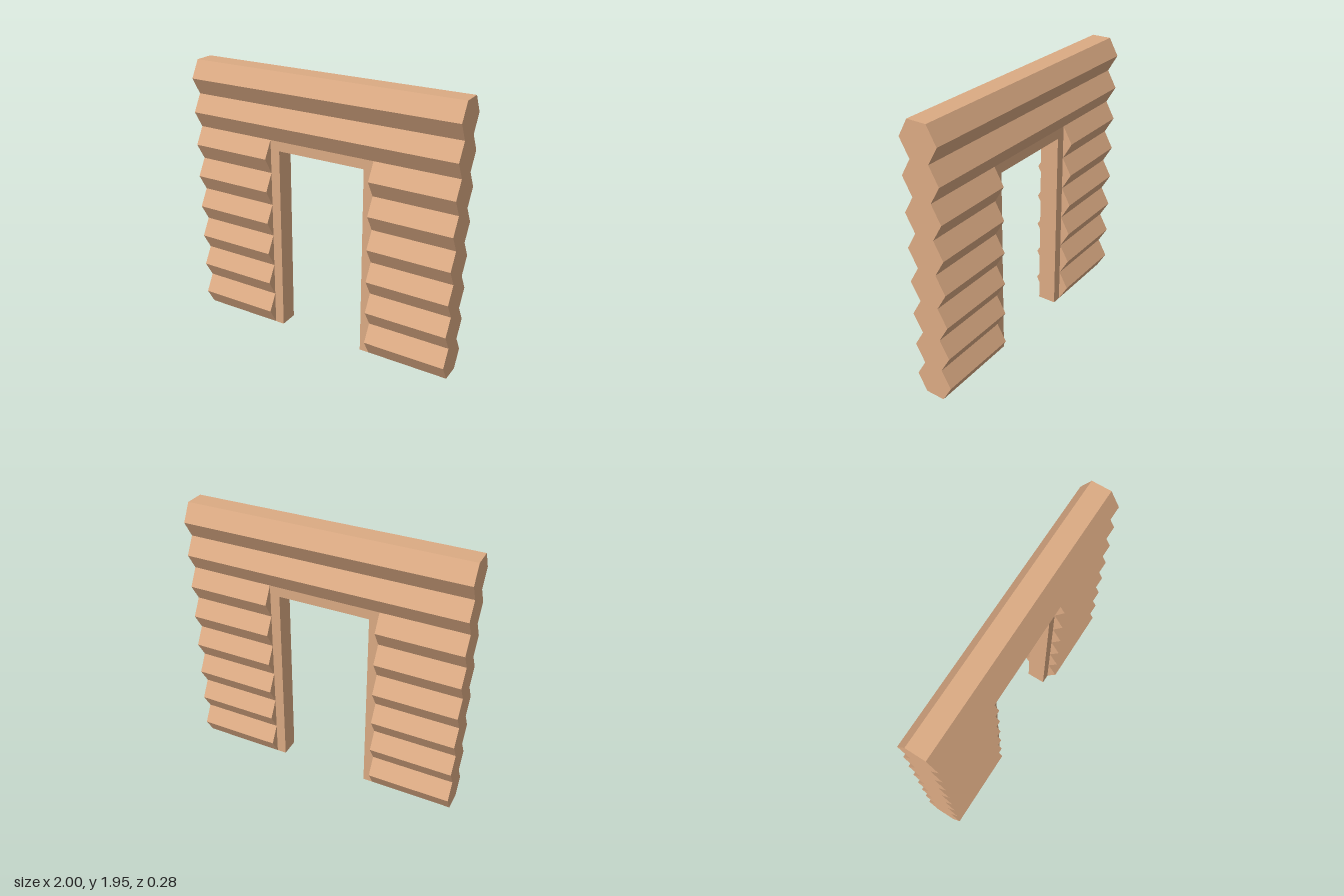
import * as THREE from 'three';

const LOG = 0.2437;    // height of one log
const VALLEY = 0.07;   // half depth where logs meet
const RIDGE = 0.14;    // half depth at the middle of a log
const ROWS = 8, DOOR_ROWS = 6;
const DOOR = 0.33, JAMB = 0.4;

const wood = new THREE.MeshStandardMaterial({ color: 0xdbaa83, flatShading: true });

// Stack of hexagonal logs running along x from x0 to x1
function logStack(name, rows, x0, x1, y) {
  const side = [[VALLEY, 0]];
  for (let i = 0; i < rows; i++) {
    side.push([RIDGE, (i + 0.5) * LOG], [VALLEY, (i + 1) * LOG]);
  }
  const mirrored = side.map(([d, h]) => [-d, h]).reverse();
  const profile = new THREE.Shape([...side, ...mirrored].map(([d, h]) => new THREE.Vector2(d, h)));
  const geometry = new THREE.ExtrudeGeometry(profile, { depth: x1 - x0, bevelEnabled: false });
  geometry.rotateY(Math.PI / 2);
  const mesh = new THREE.Mesh(geometry, wood);
  mesh.name = name;
  mesh.position.set(x0, y, 0);
  return mesh;
}

// Flat frame lining the doorway, open at the floor
function doorFrame() {
  const top = DOOR_ROWS * LOG, head = top - (JAMB - DOOR);
  const outline = [
    [-JAMB, 0], [-DOOR, 0], [-DOOR, head], [DOOR, head],
    [DOOR, 0], [JAMB, 0], [JAMB, top], [-JAMB, top],
  ];
  const shape = new THREE.Shape(outline.map(([x, y]) => new THREE.Vector2(x, y)));
  const geometry = new THREE.ExtrudeGeometry(shape, { depth: VALLEY * 2, bevelEnabled: false });
  geometry.translate(0, 0, -VALLEY);
  const mesh = new THREE.Mesh(geometry, wood);
  mesh.name = 'doorFrame';
  return mesh;
}

export function createModel() {
  const group = new THREE.Group();
  group.name = 'logWallWithDoorway';
  group.add(
    logStack('rightWallLogs', DOOR_ROWS, -1, -JAMB, 0),
    logStack('leftWallLogs', DOOR_ROWS, JAMB, 1, 0),
    logStack('lintelLogs', ROWS - DOOR_ROWS, -1, 1, DOOR_ROWS * LOG),
    doorFrame(),
  );
  return group;
}
